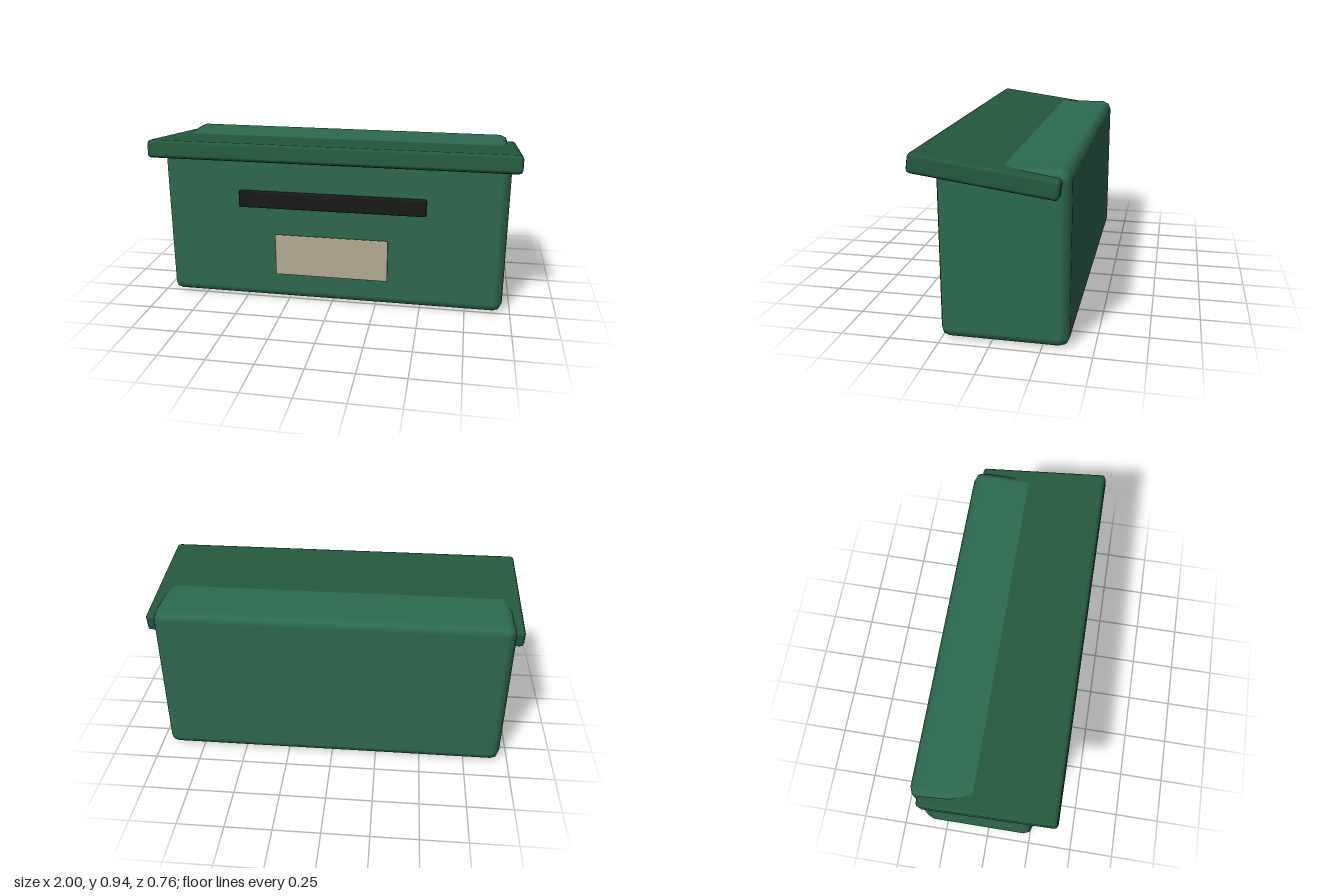
import * as THREE from 'three';
import { RoundedBoxGeometry } from 'three/addons/geometries/RoundedBoxGeometry.js';

export function createModel() {
  const group = new THREE.Group();

  // Soft-edged box given by its size, edge radius, centre height and depth
  const addBox = (name, [w, h, d], radius, y, z, color) => {
    const mesh = new THREE.Mesh(
      new RoundedBoxGeometry(w, h, d, 1, radius),
      new THREE.MeshStandardMaterial({ color })
    );
    mesh.name = name;
    mesh.position.set(0, y, z);
    group.add(mesh);
    return mesh;
  };

  // Box body
  addBox('body', [1.91, 0.88, 0.64], 0.05, 0.44, -0.06, 0x2d6a4f);

  // Overhanging lid, tilted up towards the front
  const lid = addBox('lid', [2, 0.098, 0.718], 0.02, 0.8415, 0.02, 0x24593f);
  lid.rotation.x = -0.135;

  // Dark letter slot
  addBox('slot', [1.04, 0.096, 0.032], 0.01, 0.602, 0.276, 0x1a1a1a);

  // Name plate, standing just off the front
  addBox('namePlate', [0.636, 0.24, 0.015], 0.006, 0.282, 0.285, 0xb5ad96);

  return group;
}
